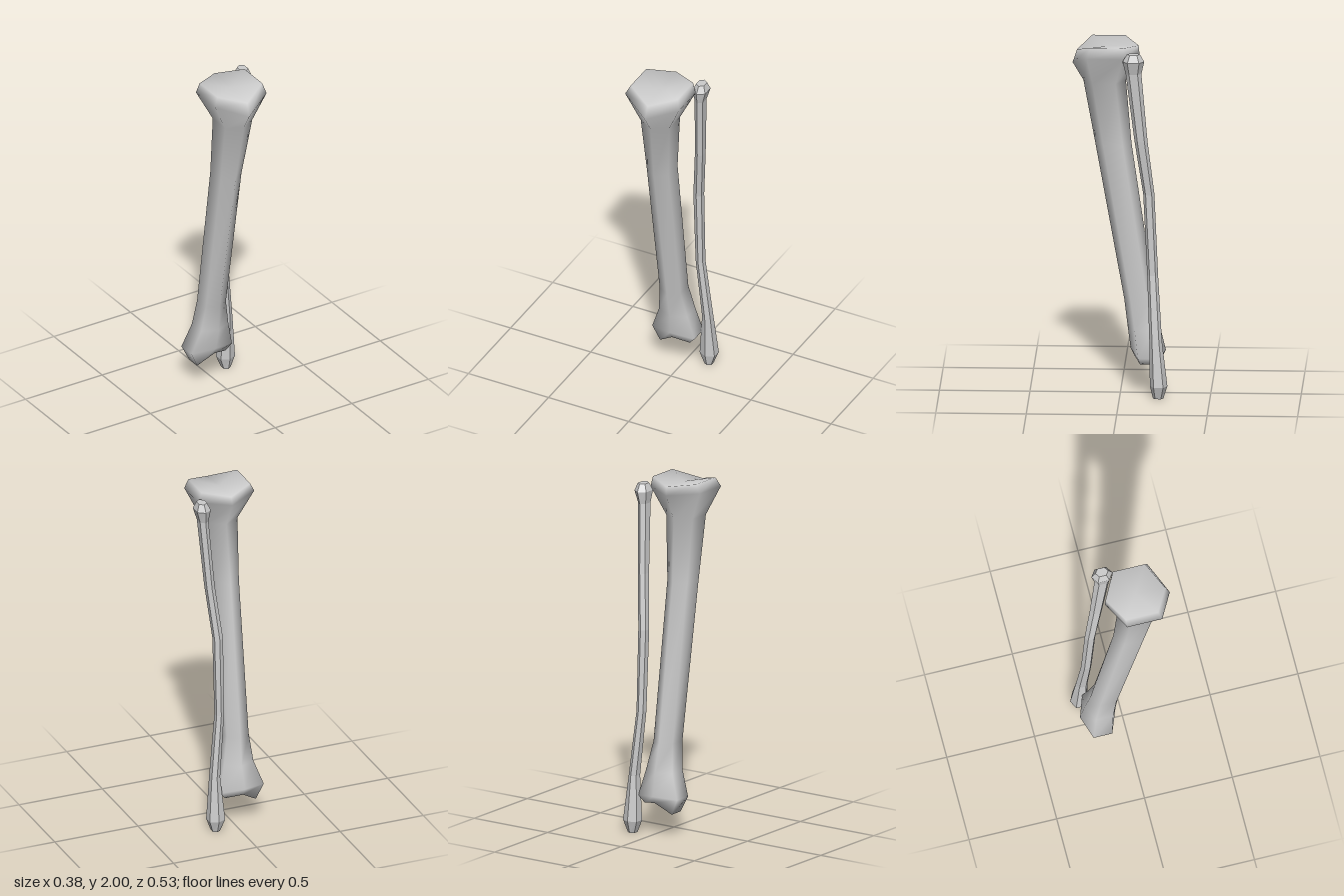
import * as THREE from 'three';

// Lofts six-sided rings from bottom to top, closed with a centre point at each end.
// Ring: [xMin, xMax, zBack, zFront, yLeft(+x), yRight(-x), yFront, yBack]
function loft(rings, bottomY, topY) {
  const pos = [], index = [], n = 6;
  const centre = ([x0, x1, z0, z1], y) => pos.push((x0 + x1) / 2, y, (z0 + z1) / 2);
  for (const [x0, x1, z0, z1, yL, yR = yL, yF = yL, yB = yL] of rings) {
    const xm = (x0 + x1) / 2, inset = (z1 - z0) * 0.23;
    pos.push(
      xm, yF, z1, x1, yL, z1 - inset, x1, yL, z0 + inset,
      xm, yB, z0, x0, yR, z0 + inset, x0, yR, z1 - inset);
  }
  const last = (rings.length - 1) * n, lo = rings.length * n, hi = lo + 1;
  centre(rings[0], bottomY);
  centre(rings[rings.length - 1], topY);
  for (let j = 0; j < n; j++) {
    const k = (j + 1) % n;
    for (let r = 0; r < last; r += n) {
      index.push(r + j, r + k, r + n + k, r + j, r + n + k, r + n + j);
    }
    index.push(lo, k, j, hi, last + j, last + k);
  }
  const geo = new THREE.BufferGeometry();
  geo.setAttribute('position', new THREE.Float32BufferAttribute(pos, 3));
  geo.setIndex(index);
  geo.computeVertexNormals();
  return geo;
}

export function createModel() {
  const group = new THREE.Group();
  group.name = 'lowerLegBones';

  // Thick shin bone, smooth shaded, with flared ends and a dished top
  const shin = new THREE.Mesh(
    loft([
      [-0.125, 0.06, -0.23, -0.075, 0.18, 0.14, 0.21, 0.2],
      [-0.168, 0.095, -0.25, -0.055, 0.22, 0.23, 0.25, 0.24],
      [-0.117, 0.06, -0.22, -0.04, 0.37],
      [-0.1, 0.03, -0.19, -0.02, 0.53],
      [-0.1, 0.035, -0.06, 0.14, 1.42],
      [-0.108, 0.07, -0.03, 0.205, 1.78],
      [-0.19, 0.145, -0.105, 0.265, 1.94, 1.95, 1.88, 1.93],
      [-0.165, 0.128, -0.1, 0.24, 2, 2, 1.955, 1.98],
    ], 0.21, 1.975),
    new THREE.MeshStandardMaterial({ color: 0xcccccc }));
  shin.name = 'shinBone';

  // Slender bowed outer bone, faceted
  const outer = new THREE.Mesh(
    loft([
      [0.105, 0.148, -0.243, -0.185, 0.005],
      [0.08, 0.172, -0.265, -0.168, 0.075],
      [0.1, 0.15, -0.235, -0.165, 0.33],
      [0.068, 0.112, -0.212, -0.152, 0.7],
      [0.065, 0.115, -0.192, -0.13, 1.16],
      [0.098, 0.145, -0.155, -0.083, 1.47],
      [0.12, 0.17, -0.122, -0.035, 1.86],
      [0.11, 0.19, -0.138, -0.018, 1.93],
      [0.127, 0.175, -0.115, -0.042, 1.972],
    ], 0.005, 1.972),
    new THREE.MeshStandardMaterial({ color: 0xcccccc, flatShading: true }));
  outer.name = 'outerBone';

  group.add(shin, outer);
  return group;
}
